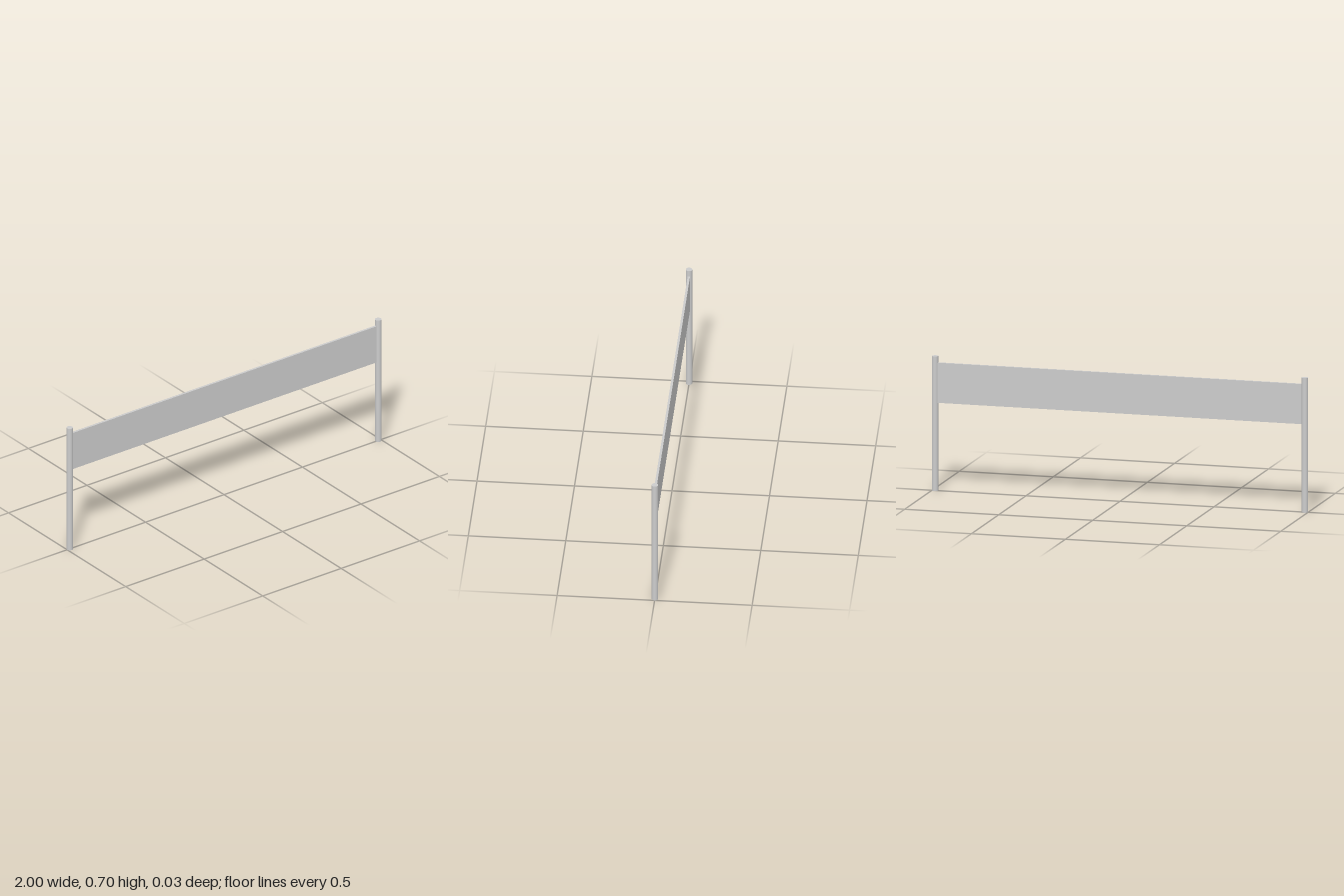
import * as THREE from 'three';

export function createModel() {
  const model = new THREE.Group();
  model.name = 'barrier';
  const material = new THREE.MeshStandardMaterial({ color: 0xcccccc });

  const radius = 0.0167, height = 0.702;
  const postX = 1 - radius;

  // Round upright posts, one at each end
  const postGeometry = new THREE.CylinderGeometry(radius, radius, height, 32);
  for (const [name, side] of [['leftPost', 1], ['rightPost', -1]]) {
    const post = new THREE.Mesh(postGeometry, material);
    post.name = name;
    post.position.set(side * postX, height / 2, 0);
    model.add(post);
  }

  // Thin board spanning the posts, its ends set into them
  const bottom = 0.459, top = 0.668;
  const board = new THREE.Mesh(new THREE.BoxGeometry(2 * postX, top - bottom, 0.012), material);
  board.name = 'board';
  board.position.y = (top + bottom) / 2;
  model.add(board);

  return model;
}
